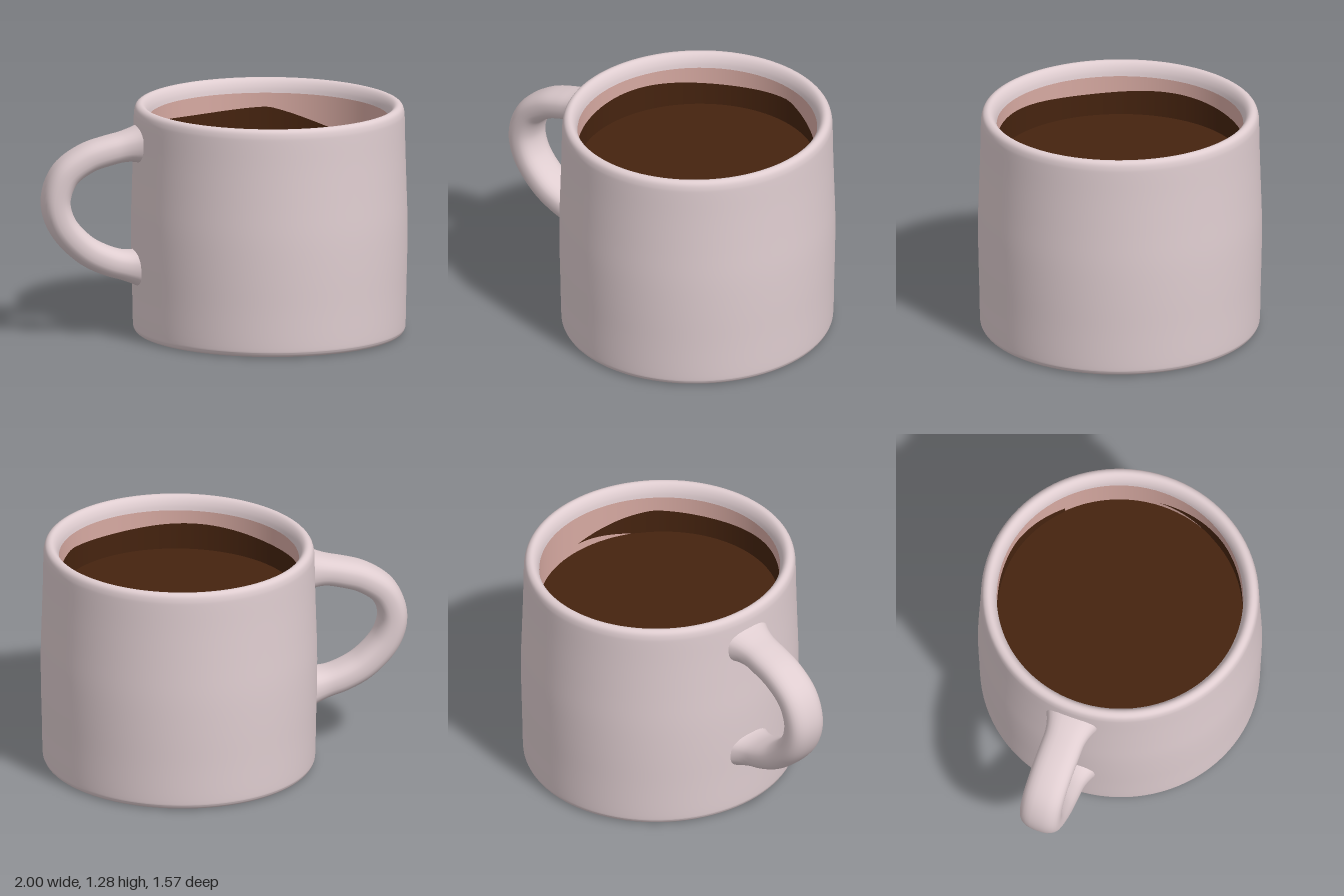
import * as THREE from 'three';
import { mergeVertices } from 'three/addons/utils/BufferGeometryUtils.js';
import { ParametricGeometry } from 'three/addons/geometries/ParametricGeometry.js';

const glaze = new THREE.MeshStandardMaterial({ color: 0xdfcdd0 });
glaze.name = 'paleGlaze';
const inner = new THREE.MeshStandardMaterial({ color: 0xd6a9a1, side: THREE.DoubleSide });
inner.name = 'pinkInside';
const coffee = new THREE.MeshStandardMaterial({ color: 0x45230f, side: THREE.DoubleSide });
coffee.name = 'coffeeBrown';

const CENTRE_X = 0.238;
const LEVEL = 0.98; // liquid level
const INNER_R = 0.682;

const v2 = (list) => list.map(([x, y]) => new THREE.Vector2(x, y));

function add(parent, name, geometry, material) {
  const mesh = new THREE.Mesh(geometry, material);
  mesh.name = name;
  parent.add(mesh);
  return mesh;
}

// Flattened loop that widens where it meets the cup wall; x is distance from the cup axis
function handleGeometry() {
  const path = new THREE.CatmullRomCurve3([
    [-0.7, 1.085], [-0.8, 1.073], [-0.91, 1.05], [-1.03, 1.01], [-1.15, 0.92],
    [-1.2, 0.78], [-1.165, 0.64], [-1.04, 0.5], [-0.91, 0.43], [-0.8, 0.4], [-0.7, 0.385],
  ].map(([x, y]) => new THREE.Vector3(x, y, 0)));
  const squared = (t) => Math.sign(t) * Math.pow(Math.abs(t), 0.8);
  const geometry = new ParametricGeometry((u, v, out) => {
    const p = path.getPointAt(u);
    const t = path.getTangentAt(u);
    const a = v * Math.PI * 2;
    const root = Math.max(0, 1 - (Math.abs(p.x) - 0.73) / 0.13);
    const flare = 1 + 0.3 * Math.min(root, 1.2) ** 2;
    const n = squared(Math.cos(a)) * 0.08 * flare;
    const w = squared(Math.sin(a)) * 0.115 * flare;
    out.set(p.x - t.y * n, p.y + t.x * n, -w);
  }, 72, 28);
  geometry.deleteAttribute('uv');
  geometry.deleteAttribute('normal');
  const welded = mergeVertices(geometry, 1e-4);
  welded.computeVertexNormals();
  return welded;
}

// Wavy film of coffee left on the inside wall, missing on one side
function stainGeometry() {
  const start = THREE.MathUtils.degToRad(122);
  const sweep = THREE.MathUtils.degToRad(315);
  const geometry = new THREE.CylinderGeometry(INNER_R - 0.004, INNER_R - 0.004, 1, 96, 1, true, start, sweep);
  const pos = geometry.attributes.position;
  for (let i = 0; i < pos.count; i++) {
    const s = (i % 97) / 96;
    const a = s * sweep;
    const ends = Math.min(1, s / 0.1, (1 - s) / 0.13);
    const top = LEVEL + 0.05 + 0.09 * ends + 0.012 * Math.sin(a * 4) * ends;
    // the lower edge lifts off the liquid near the far end
    const bottom = LEVEL - 0.01 + 0.06 * THREE.MathUtils.smoothstep(s, 0.86, 1);
    pos.setY(i, i < 97 ? Math.max(top, bottom) : bottom);
  }
  return geometry;
}

export function createModel() {
  const model = new THREE.Group();
  model.name = 'mug';

  const cup = new THREE.Group();
  cup.name = 'cup';
  cup.position.x = CENTRE_X;
  cup.scale.x = 0.967; // slightly oval
  model.add(cup);

  // Outer wall with rounded foot and lip
  const profile = v2([
    [0.615, 0.016], [0.63, 0.006], [0.68, 0.002], [0.735, 0.002], [0.757, 0.008], [0.77, 0.025], [0.775, 0.06],
    [0.779, 0.25], [0.784, 0.45], [0.785, 0.65], [0.779, 0.85], [0.773, 1.05], [0.77, 1.2],
    [0.767, 1.245], [0.757, 1.272], [0.737, 1.284], [0.717, 1.28], [0.7, 1.262], [0.688, 1.235], [INNER_R, 1.205],
  ]);
  add(cup, 'outerWall', new THREE.LatheGeometry(new THREE.SplineCurve(profile).getPoints(76), 96), glaze);

  add(cup, 'innerWall', new THREE.LatheGeometry(v2([[INNER_R, 1.206], [INNER_R, LEVEL - 0.03]]), 96), inner);
  add(cup, 'coffeeStain', stainGeometry(), coffee);

  // Liquid surface and dark base disc
  const surface = add(cup, 'coffeeSurface', new THREE.CircleGeometry(INNER_R, 96), coffee);
  surface.rotation.x = -Math.PI / 2;
  surface.position.y = LEVEL;
  const base = add(cup, 'baseDisc', new THREE.CircleGeometry(0.62, 96), coffee);
  base.rotation.x = Math.PI / 2;
  base.position.y = 0.012;

  // Handle points outwards, turned a little to the back
  const handle = add(model, 'handle', handleGeometry(), glaze);
  handle.position.x = CENTRE_X;
  handle.rotation.y = -THREE.MathUtils.degToRad(16);

  return model;
}
